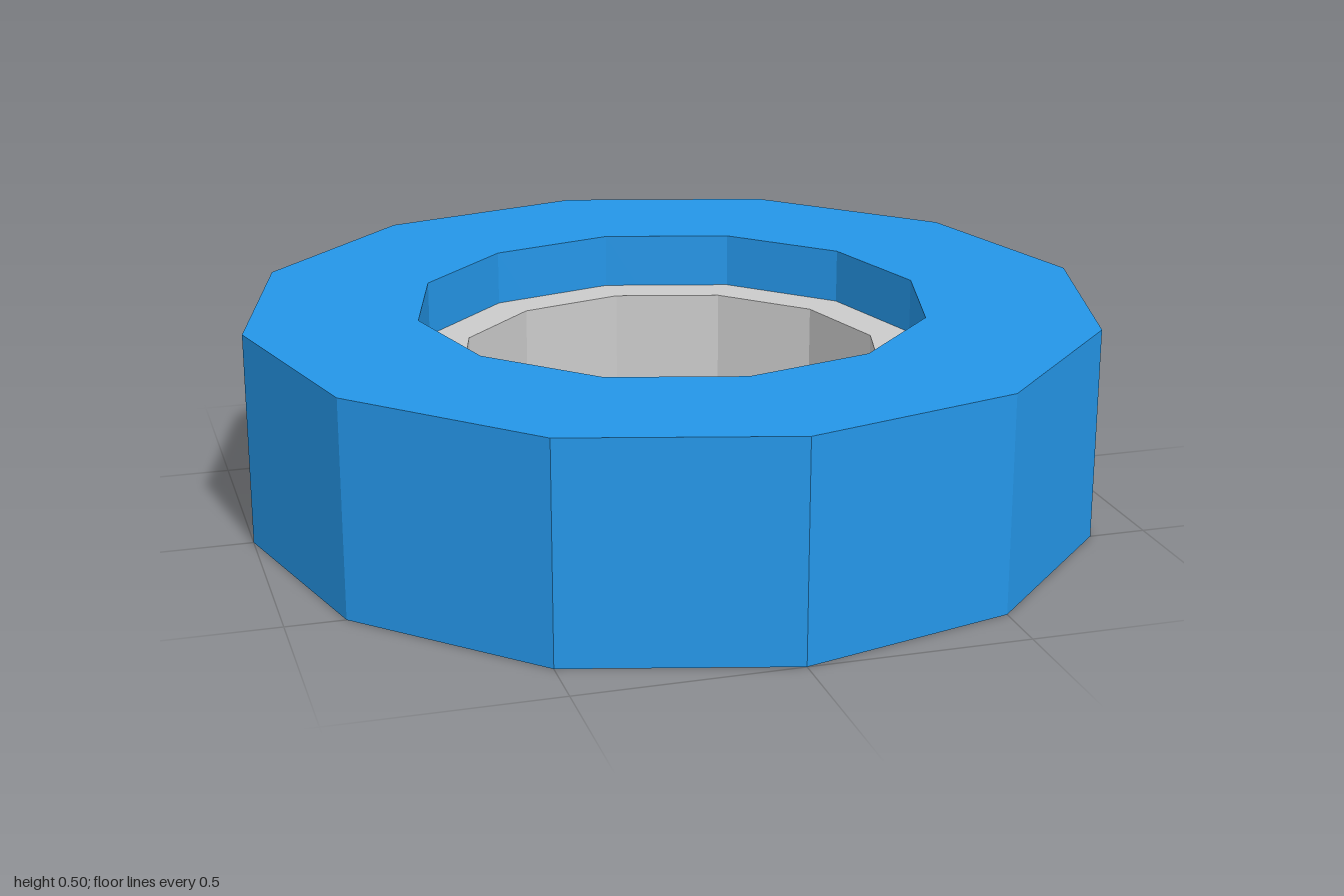
import * as THREE from 'three';

const SIDES = 12;

// Faceted ring turned from a [radius, height] profile
function ring(name, profile, color) {
  const points = profile.map(([r, y]) => new THREE.Vector2(r, y));
  const mesh = new THREE.Mesh(
    new THREE.LatheGeometry(points, SIDES),
    new THREE.MeshStandardMaterial({ color, flatShading: true })
  );
  mesh.name = name;
  return mesh;
}

export function createModel() {
  const group = new THREE.Group();
  group.name = 'wheel';

  // Thick outer tyre with a square section
  group.add(ring('tyre', [[0.6, 0], [1, 0], [1, 0.5], [0.6, 0.5], [0.6, 0]], 0x2496e8));

  // Narrower rim set midway inside the tyre; its outer side rests on the tyre
  group.add(ring('rim', [[0.6, 0.37], [0.5, 0.37], [0.5, 0.13], [0.6, 0.13]], 0xcccccc));

  return group;
}
